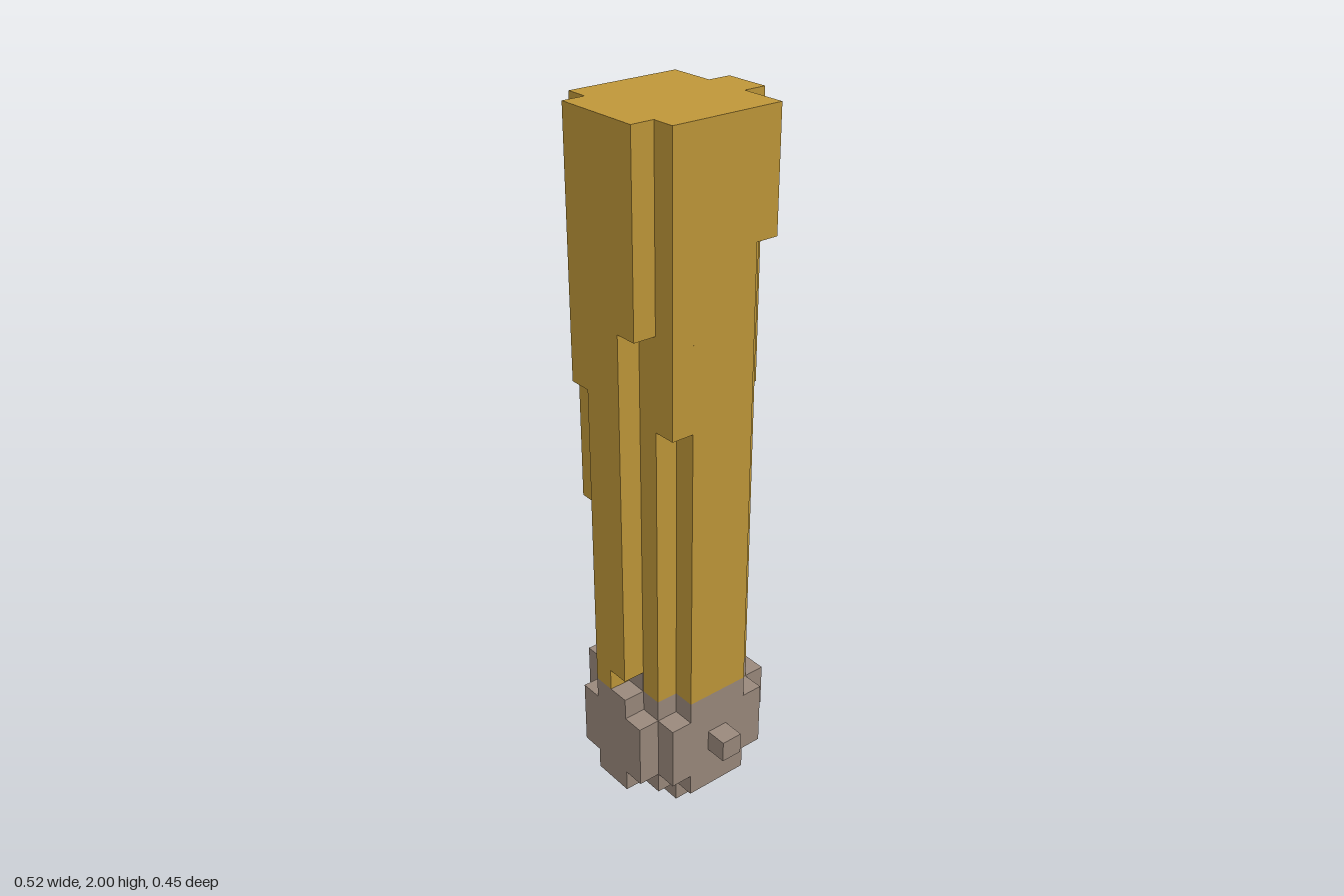
import * as THREE from 'three';

const U = 2 / 31; // edge of one block

export function createModel() {
  const model = new THREE.Group();
  const gold = new THREE.MeshStandardMaterial({ color: 0xbf9739 });
  gold.name = 'gold';
  const stone = new THREE.MeshStandardMaterial({ color: 0x9a897c });
  stone.name = 'greyBrown';

  // Box between two corners, measured in blocks
  function block(name, material, x0, x1, y0, y1, z0, z1) {
    const geometry = new THREE.BoxGeometry((x1 - x0) * U, (y1 - y0) * U, (z1 - z0) * U);
    const mesh = new THREE.Mesh(geometry, material);
    mesh.name = name;
    mesh.position.set((x0 + x1) / 2 * U, (y0 + y1) / 2 * U, (z0 + z1) / 2 * U);
    model.add(mesh);
  }

  // Shaft: a cross-shaped core, its corners ending at different heights
  block('shaftCore', gold, -2, 2, 6, 31, -2.5, 2.5);
  for (const s of [-1, 1]) {
    const [x0, x1] = s < 0 ? [-3, -2] : [2, 3];
    block('shaftSide', gold, x0, x1, 6, 31, -1.5, 1.5);
    block('shaftFrontCorner', gold, x0, x1, s < 0 ? 14 : 19, 31, 1.5, 2.5);
    block('shaftBackCorner', gold, x0, x1, s < 0 ? 21 : 26, 31, -2.5, -1.5);
  }

  // Front rib with stepped edges and a notch at its foot
  const frontRib = [[-2, -1, 20], [-1, 0, 6], [0, 1, 7], [1, 2, 23]];
  for (const [x0, x1, y0] of frontRib) block('frontRib', gold, x0, x1, y0, 31, 2.5, 3.5);
  block('notchBack', stone, 0, 1, 6, 7, 2.5, 2.52);

  // Back rib
  block('backRib', gold, -1, 0, 18, 31, -3.5, -2.5);
  block('backRib', gold, 0, 1, 19, 31, -3.5, -2.5);

  // Base: foot, core and corners
  block('foot', stone, -2, 1, 0, 1, -1.5, 1.5);
  block('foot', stone, 1, 2, 0, 1, -0.5, 1.5);
  block('baseCore', stone, -2, 2, 1, 6, -2.5, 2.5);
  for (const s of [-1, 1]) {
    const [x0, x1] = s < 0 ? [-3, -2] : [2, 3];
    block('baseSide', stone, x0, x1, 1, 6, -1.5, 1.5);
    block('baseFrontCorner', stone, x0, x1, 2, s < 0 ? 6 : 5, 1.5, 2.5);
    block('baseBackCorner', stone, x0, x1, 2, 5, -2.5, -1.5);
  }

  // Raised panels and knobs of the base
  block('frontPanel', stone, -2, 2, 2, 5, 2.5, 3.5);
  block('frontPanelTop', stone, -1, 1, 5, 6, 2.5, 3.5);
  block('frontPanelFoot', stone, -1, 1, 1, 2, 2.5, 3.5);
  block('backPanel', stone, -2, 1, 2, 5, -3.5, -2.5);
  block('backPanelEnd', stone, 1, 2, 3, 5, -3.5, -2.5);
  block('rightPanel', stone, -4, -3, 3, 5, -0.5, 1.5);
  block('rightPanelEnd', stone, -4, -3, 2, 4, -1.5, -0.5);
  block('leftKnob', stone, 3, 4, 3, 4, -0.5, 0.5);

  // Gold facing beside the back step
  for (const x of [-2, 1]) block('backFacing', gold, x, x + 1, 5, 6, -2.52, -2.5);

  return model;
}
